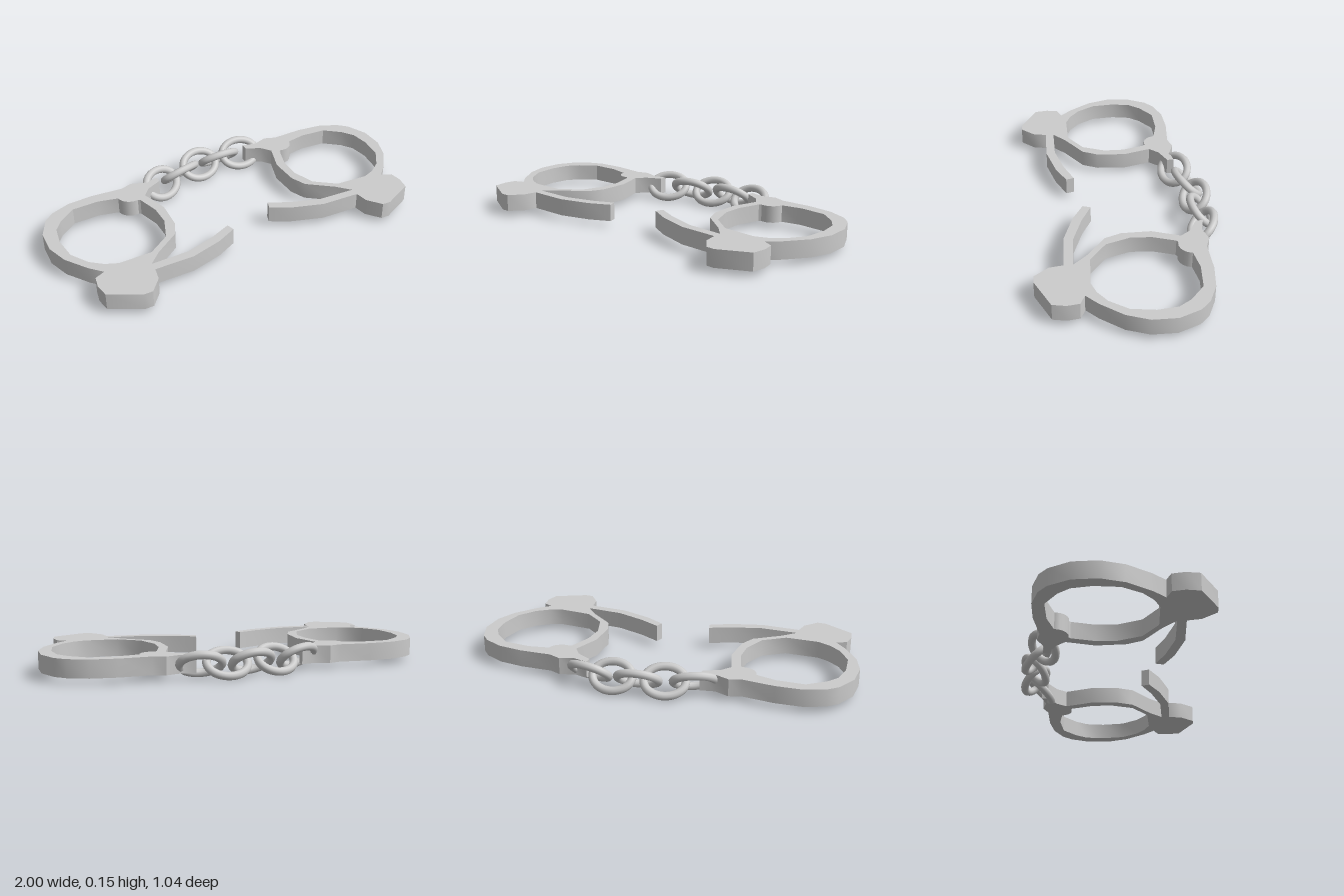
import * as THREE from 'three';
import { toCreasedNormals } from 'three/addons/utils/BufferGeometryUtils.js';

const material = new THREE.MeshStandardMaterial({ color: 0xcccccc });
const BOTTOM = 0.03, HEIGHT = 0.09;

// Plan outlines of one cuff as [x, z]
const RING = [
  [-0.243, -0.41], [-0.249, -0.374], [-0.334, -0.348], [-0.382, -0.305], [-0.361, -0.155],
  [-0.393, -0.005], [-0.441, 0.07], [-0.586, 0.144], [-0.676, 0.21], [-0.8, 0.17],
  [-0.869, 0.118], [-0.92, 0.045], [-0.981, -0.08], [-1, -0.198], [-0.976, -0.32],
  [-0.91, -0.417], [-0.853, -0.455], [-0.746, -0.48], [-0.612, -0.47], [-0.452, -0.433],
  [-0.388, -0.444], [-0.318, -0.406],
];
const OPENING = [
  [-0.505, -0.364], [-0.612, -0.406], [-0.751, -0.422], [-0.848, -0.369], [-0.901, -0.316],
  [-0.933, -0.219], [-0.939, -0.096], [-0.896, 0.005], [-0.842, 0.064], [-0.783, 0.1],
  [-0.612, 0.122], [-0.489, 0.06], [-0.425, -0.053], [-0.409, -0.16], [-0.425, -0.283],
];
const LOCK = [
  [-0.928, 0.128], [-0.874, 0.114], [-0.835, 0.134], [-0.79, 0.112], [-0.625, 0.128],
  [-0.666, 0.198], [-0.668, 0.24], [-0.693, 0.31], [-0.762, 0.37], [-0.805, 0.364],
  [-0.949, 0.257], [-0.949, 0.187],
];
const ARM = [
  [-0.69, 0.195], [-0.468, 0.225], [-0.307, 0.203], [-0.19, 0.171], [-0.184, 0.214],
  [-0.297, 0.251], [-0.468, 0.273], [-0.69, 0.24],
];
const HINGE = [-0.442, -0.362];

// The second cuff is mirrored and swung about its chain tab
const samePlace = (p) => p;
function mirrored([x, z]) {
  const a = THREE.MathUtils.degToRad(19);
  const dx = -(x + 0.248), dz = z + 0.39;
  return [
    0.333 + dx * Math.cos(a) - dz * Math.sin(a),
    -0.373 + dx * Math.sin(a) + dz * Math.cos(a),
  ];
}

function plate(name, outline, place, hole) {
  const toPoints = (list) => list.map(place).map(([x, z]) => new THREE.Vector2(x, -z));
  const shape = new THREE.Shape(toPoints(outline));
  if (hole) shape.holes.push(new THREE.Path(toPoints(hole)));
  const geometry = new THREE.ExtrudeGeometry(shape, { depth: HEIGHT, bevelEnabled: false });
  geometry.rotateX(-Math.PI / 2).translate(0, BOTTOM, 0);
  const mesh = new THREE.Mesh(toCreasedNormals(geometry, 0.6), material);
  mesh.name = name;
  return mesh;
}

function cuff(name, place) {
  const group = new THREE.Group();
  group.name = name;
  group.add(
    plate('ring', RING, place, OPENING),
    plate('lockHousing', LOCK, place),
    plate('openArm', ARM, place),
  );
  // Round hinge between the ring and the chain tab
  const hinge = new THREE.Mesh(new THREE.CylinderGeometry(0.07, 0.07, HEIGHT, 20), material);
  const [x, z] = place(HINGE);
  hinge.position.set(x, BOTTOM + HEIGHT / 2, z);
  hinge.name = 'hinge';
  group.add(hinge);
  return group;
}

// Five oval links, alternately tilted, in a shallow arc
function chain() {
  const group = new THREE.Group();
  group.name = 'chain';
  const points = [];
  for (let i = 0; i < 16; i++) {
    const t = (i / 16) * Math.PI * 2;
    points.push(new THREE.Vector3(0.104 * Math.cos(t), 0, 0.078 * Math.sin(t)));
  }
  const path = new THREE.CatmullRomCurve3(points, true);
  const geometry = new THREE.TubeGeometry(path, 40, 0.021, 10, true);
  const links = [ // x, z, yaw
    [-0.215, -0.405, 0.25], [-0.075, -0.435, 0.12], [0.06, -0.438, 0],
    [0.19, -0.432, -0.12], [0.315, -0.4, -0.28],
  ];
  links.forEach(([x, z, yaw], i) => {
    const link = new THREE.Mesh(geometry, material);
    link.name = 'link' + (i + 1);
    link.position.set(x, 0.075, z);
    link.rotation.order = 'YXZ';
    link.rotation.set(i % 2 ? -0.76 : 0.76, yaw, 0);
    group.add(link);
  });
  return group;
}

export function createModel() {
  const model = new THREE.Group();
  model.name = 'handcuffs';
  model.add(cuff('rightCuff', samePlace), cuff('leftCuff', mirrored), chain());
  return model;
}
